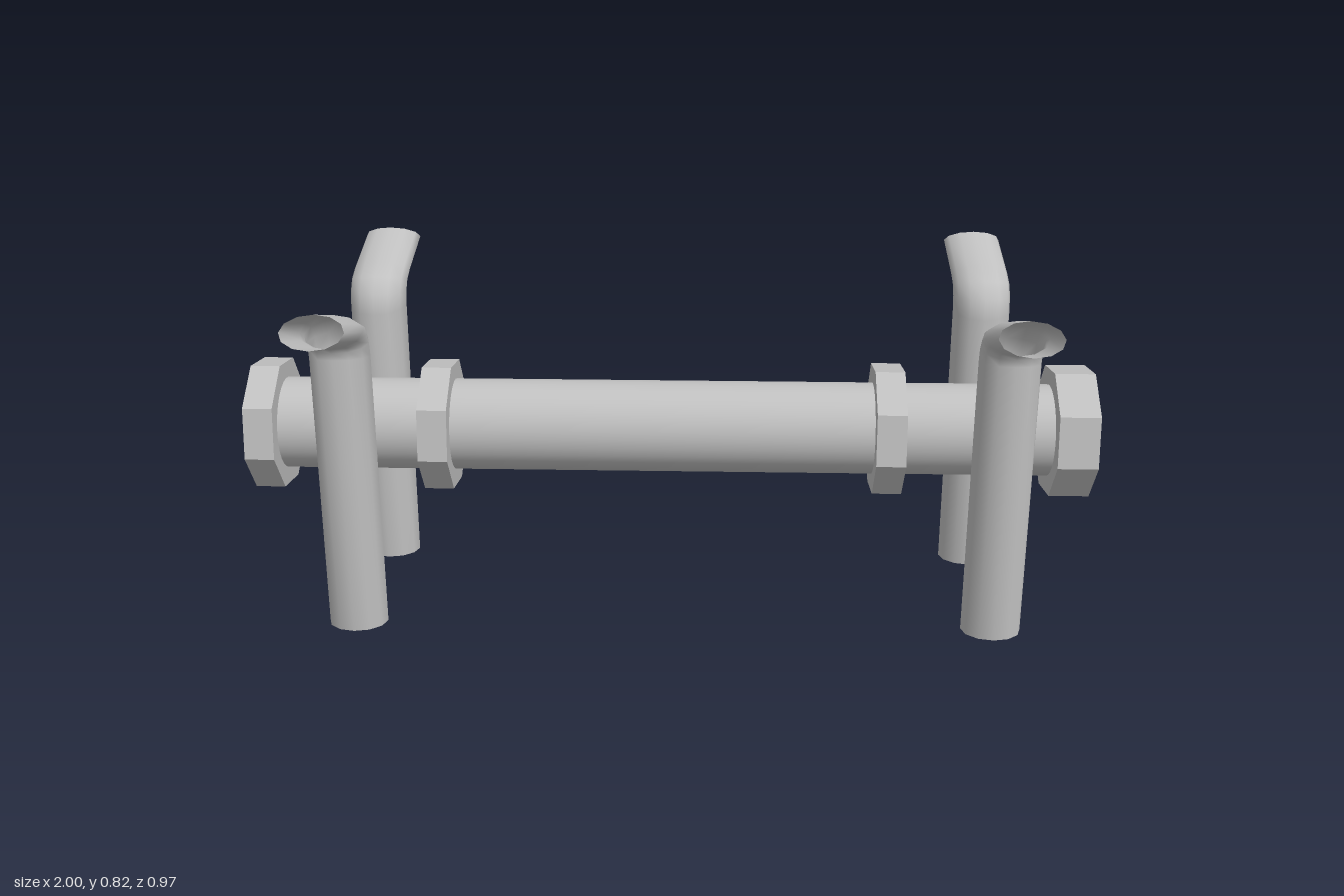
import * as THREE from 'three';

const AXIS_Y = 0.427;

// Bent open tube: each row is a section given by its near and far edge [z, y, z, y]
function postGeometry(sides = 12, halfWidth = 0.07) {
  const sections = [
    [0.153, 0, 0.273, 0],
    [0.147, 0.655, 0.291, 0.675],
    [0.159, 0.704, 0.294, 0.692],
    [0.19, 0.742, 0.303, 0.703],
    [0.245, 0.767, 0.325, 0.711],
    [0.415, 0.816, 0.485, 0.756],
  ];
  const positions = [];
  const index = [];
  sections.forEach(([az, ay, bz, by], i) => {
    for (let j = 0; j < sides; j++) {
      const a = (j / sides) * Math.PI * 2;
      const c = Math.cos(a) / 2;
      positions.push(
        halfWidth * Math.sin(a),
        (ay + by) / 2 + (by - ay) * c,
        (az + bz) / 2 + (bz - az) * c
      );
      if (i < sections.length - 1) {
        const p = i * sides + j;
        const q = i * sides + ((j + 1) % sides);
        index.push(p, q, p + sides, q, q + sides, p + sides);
      }
    }
  });
  const geometry = new THREE.BufferGeometry();
  geometry.setAttribute('position', new THREE.Float32BufferAttribute(positions, 3));
  geometry.setIndex(index);
  geometry.computeVertexNormals();
  return geometry;
}

export function createModel() {
  const group = new THREE.Group();
  const grey = new THREE.MeshStandardMaterial({ color: 0xc0c0c0, side: THREE.DoubleSide });
  grey.name = 'grey metal';

  // Cylinder lying along x between two positions
  const addRod = (name, x0, x1, radius, sides, start) => {
    let geometry = new THREE.CylinderGeometry(radius, radius, x1 - x0, sides, 1, false, start);
    if (sides < 12) {
      geometry = geometry.toNonIndexed();
      geometry.computeVertexNormals();
    }
    const mesh = new THREE.Mesh(geometry, grey);
    mesh.name = name;
    mesh.rotation.z = Math.PI / 2;
    mesh.position.set((x0 + x1) / 2, AXIS_Y, 0);
    group.add(mesh);
  };

  // Round bar with octagonal end caps and collars
  addRod('bar', -0.97, 0.95, 0.11, 32, 0);
  const tilt = Math.PI / 6;
  addRod('rightEndCap', -1, -0.93, 0.16, 8, tilt);
  addRod('rightCollar', -0.59, -0.52, 0.16, 8, tilt);
  addRod('leftCollar', 0.485, 0.555, 0.16, 8, tilt);
  addRod('leftEndCap', 0.905, 1, 0.16, 8, tilt);

  // Four bent posts, front and back on each side
  const post = postGeometry();
  for (const [side, x] of [['right', -0.74], ['left', 0.765]]) {
    for (const [end, turn] of [['Front', 0], ['Back', Math.PI]]) {
      const mesh = new THREE.Mesh(post, grey);
      mesh.name = `${side}${end}Post`;
      mesh.position.x = x;
      mesh.rotation.y = turn;
      group.add(mesh);
    }
  }
  return group;
}
